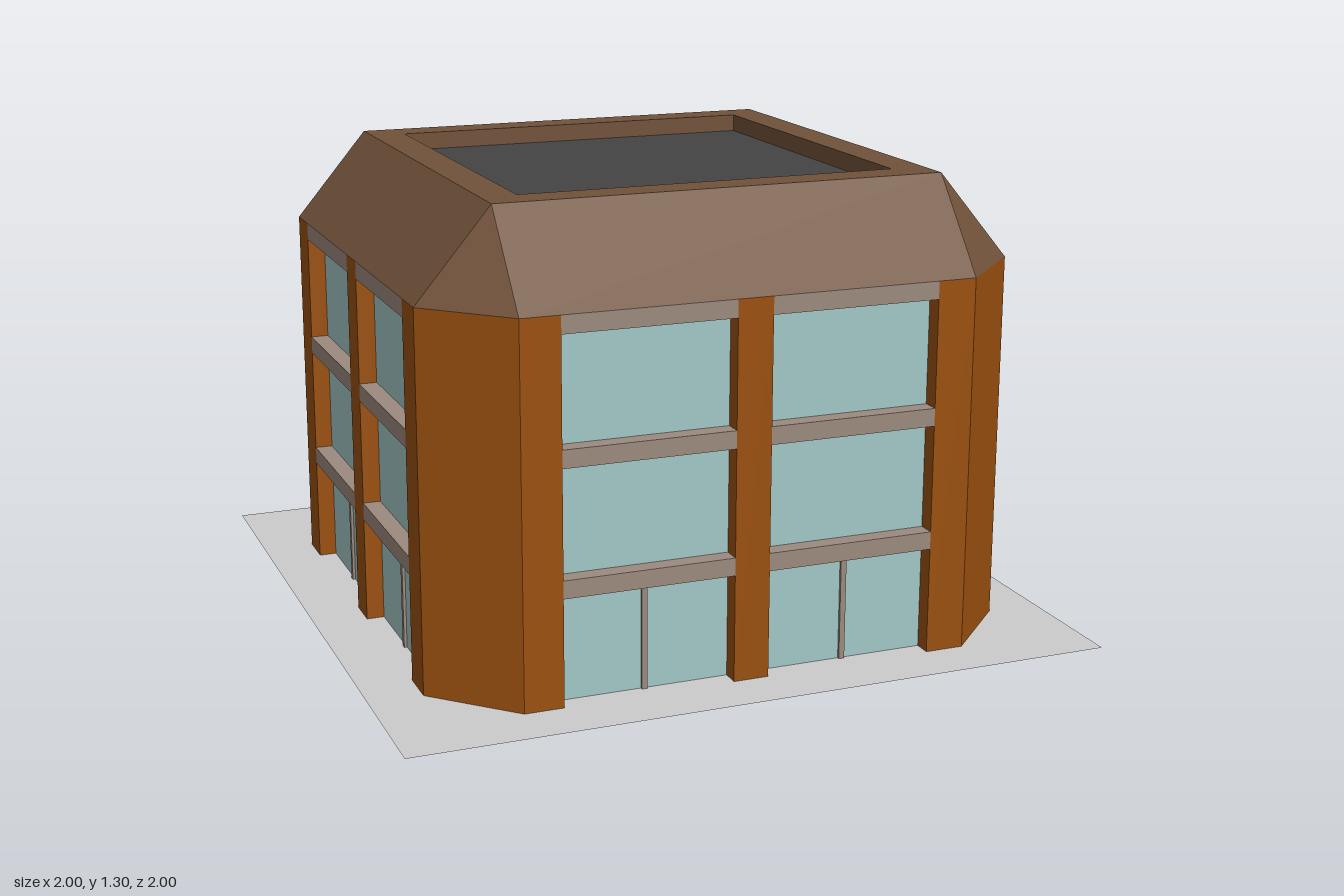
import * as THREE from 'three';
import { mergeGeometries } from 'three/addons/utils/BufferGeometryUtils.js';

const OUT = 0.85, GLASS = 0.8, FLAT = 0.64, BAY = 0.53, MID = 0.05;
const EAVE = 1.05, TOP = 1.3, DECK = 1.25, INNER = 0.54;

const paint = (color) => new THREE.MeshStandardMaterial({ color, side: THREE.DoubleSide, flatShading: true });

// Flat convex face from corners listed counter-clockwise
function face(...corners) {
  const pos = [];
  for (let i = 1; i < corners.length - 1; i++) pos.push(...corners[0], ...corners[i], ...corners[i + 1]);
  const g = new THREE.BufferGeometry();
  g.setAttribute('position', new THREE.Float32BufferAttribute(pos, 3));
  g.computeVertexNormals();
  return g;
}

// Open shell: a polyline swept along an offset
function sweep(points, offset) {
  const add = (p) => p.map((v, i) => v + offset[i]);
  return mergeGeometries(points.slice(1).map((b, i) => face(points[i], b, add(b), add(points[i]))));
}

export function createModel() {
  const model = new THREE.Group();
  const mats = {
    pillar: paint(0x9a500f), roof: paint(0x71523a), glass: paint(0xa2c6c6),
    sill: paint(0x9c8a7e), deck: paint(0x444444), ground: paint(0xcccccc),
  };
  const part = (parent, name, geometry, mat) => {
    const mesh = new THREE.Mesh(geometry, mat);
    mesh.name = name;
    parent.add(mesh);
    return mesh;
  };

  const cornerPlan = [[BAY, GLASS], [BAY, OUT], [FLAT, OUT], [OUT, FLAT], [OUT, BAY], [GLASS, BAY]];
  const middlePlan = [[-MID, GLASS], [-MID, OUT], [MID, OUT], [MID, GLASS]];
  const raise = (plan) => sweep(plan.map(([x, z]) => [x, 0, z]), [0, EAVE, 0]);
  const footprint = [];

  // Four identical sides, each with its corner
  for (let k = 0; k < 4; k++) {
    const side = new THREE.Group();
    side.name = 'facade' + (k + 1);
    side.rotation.y = k * Math.PI / 2;
    model.add(side);

    part(side, 'cornerPillar', raise(cornerPlan), mats.pillar);
    part(side, 'middlePillar', raise(middlePlan), mats.pillar);

    for (const x0 of [-BAY, MID]) {
      const w = BAY - MID;
      for (let floor = 0; floor < 3; floor++) {
        const y0 = floor * 0.35, y1 = y0 + 0.3, y2 = y0 + 0.35;
        part(side, 'windowPane', face([x0, y0, GLASS], [x0 + w, y0, GLASS], [x0 + w, y1, GLASS], [x0, y1, GLASS]), mats.glass);
        part(side, 'sill', sweep([[x0, y2, GLASS], [x0, y2, OUT], [x0, y1, OUT], [x0, y1, GLASS]], [w, 0, 0]), mats.sill);
      }
      // Door mullion on the ground floor
      part(side, 'mullion', new THREE.BoxGeometry(0.016, 0.3, 0.012), mats.sill)
        .position.set(x0 + w / 2, 0.15, GLASS + 0.002);
    }

    // Sloped roof face, chamfer triangle, rim and inner parapet
    part(side, 'roofSide', mergeGeometries([
      face([-FLAT, EAVE, OUT], [FLAT, EAVE, OUT], [FLAT, TOP, FLAT], [-FLAT, TOP, FLAT]),
      face([FLAT, EAVE, OUT], [OUT, EAVE, FLAT], [FLAT, TOP, FLAT]),
      face([-FLAT, TOP, FLAT], [FLAT, TOP, FLAT], [INNER, TOP, INNER], [-INNER, TOP, INNER]),
      face([-INNER, TOP, INNER], [INNER, TOP, INNER], [INNER, DECK, INNER], [-INNER, DECK, INNER]),
    ]), mats.roof);

    // Footprint outline, turned with the side
    for (const [x, z] of [...middlePlan, ...cornerPlan.slice(0, -1), [GLASS, BAY]]) {
      const p = new THREE.Vector2(x, -z).rotateAround(new THREE.Vector2(), k * Math.PI / 2);
      footprint.push(p);
    }
  }

  // Sunken roof deck
  part(model, 'roofDeck', new THREE.PlaneGeometry(INNER * 2, INNER * 2).rotateX(-Math.PI / 2), mats.deck).position.y = DECK;

  // Ground slab, open beneath the building
  const plot = new THREE.Shape([[-1, -1], [1, -1], [1, 1], [-1, 1]].map(([x, y]) => new THREE.Vector2(x, y)));
  plot.holes.push(new THREE.Path(footprint));
  part(model, 'ground', new THREE.ShapeGeometry(plot).rotateX(-Math.PI / 2), mats.ground);

  return model;
}
